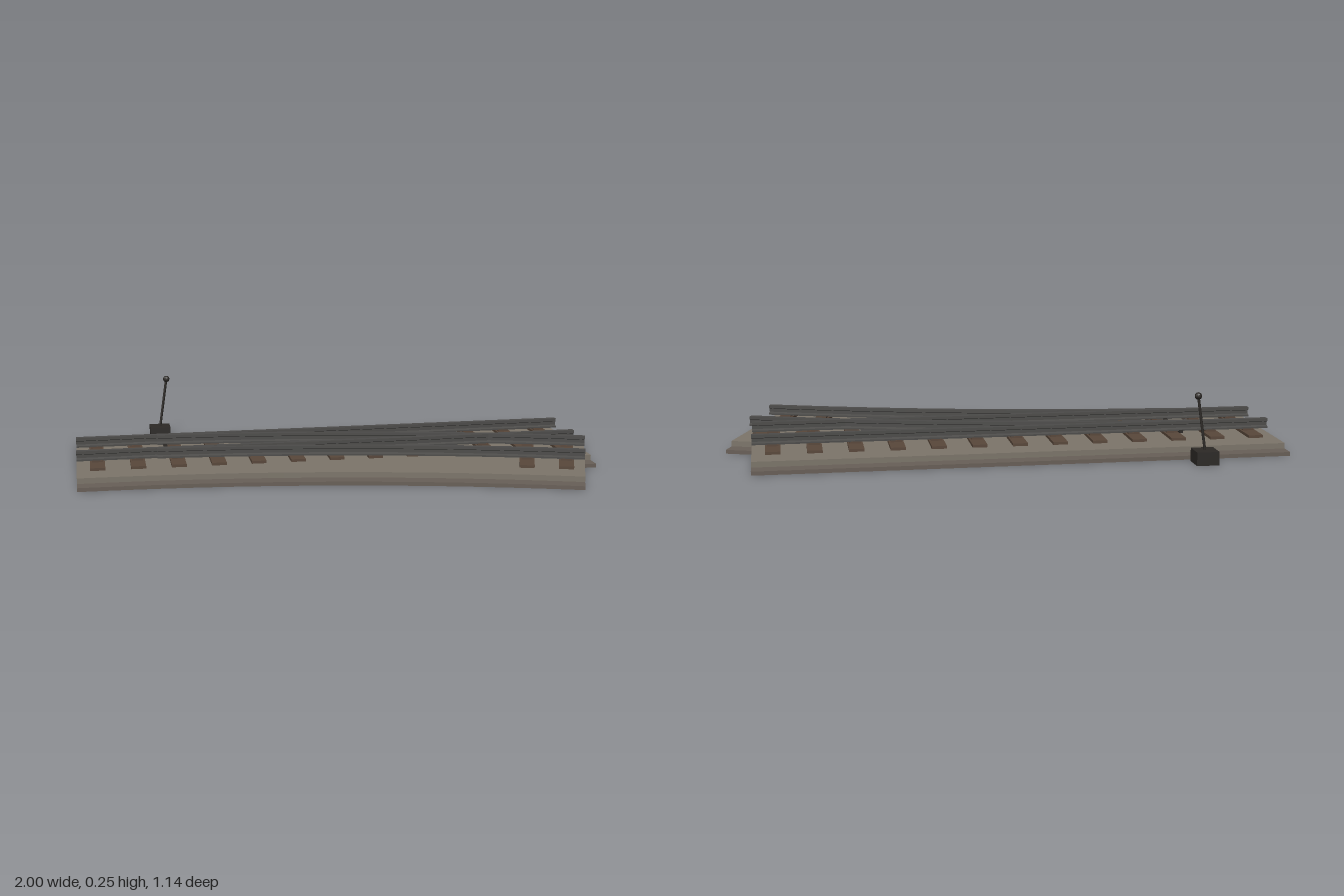
import * as THREE from 'three';

// Shared track layout: straight route along x, curved route bending towards +z
const X0 = -1, X1 = 0.905, ZC = -0.107;
const R = 5.62, SWEEP = THREE.MathUtils.degToRad(19.5);
const GAUGE = 0.217, PITCH = 0.1463;

const paint = (color) => new THREE.MeshStandardMaterial({ color, flatShading: true });
const mats = {
  stone: paint(0x7c756a), base: paint(0x685f57), wood: paint(0x59473a),
  steel: paint(0x4c4b49), iron: paint(0x2c2926),
};

// Point on the curved route at angle a, offset away from the curve's centre
const onCurve = (a, off) => [X0 + (R + off) * Math.sin(a), ZC + R - (R + off) * Math.cos(a)];

function add(parent, name, geo, mat, x = 0, y = 0, z = 0) {
  const mesh = new THREE.Mesh(geo, mat);
  mesh.name = name;
  mesh.position.set(x, y, z);
  parent.add(mesh);
  return mesh;
}

// Slab covering both routes, half wide on each side of their centre lines
function bedGeometry(half, height) {
  const out = onCurve(SWEEP, half), inn = onCurve(SWEEP, -half);
  const lerpAt = (axis, v) => {
    const t = (v - out[axis]) / (inn[axis] - out[axis]);
    return [0, 1].map((k) => out[k] + t * (inn[k] - out[k]));
  };
  const zFront = ZC + half;
  const pts = [
    [X0, ZC - half], [X1, ZC - half],
    onCurve(Math.asin((X1 - X0) / (R + half)), half), out,
    lerpAt(0, X1), [X1, zFront], lerpAt(1, zFront),
  ];
  for (let i = 32; i >= 0; i--) pts.push(onCurve((SWEEP * i) / 32, -half));
  const shape = new THREE.Shape(pts.map(([x, z]) => new THREE.Vector2(x, -z)));
  return new THREE.ExtrudeGeometry(shape, { depth: height, bevelEnabled: false }).rotateX(-Math.PI / 2);
}

// Rail profile with foot, web and head, swept along either route
const half = [[0.016, 0.05], [0.016, 0.056], [0.005, 0.06], [0.005, 0.072], [0.011, 0.075], [0.011, 0.086]];
const profile = new THREE.Shape(
  [...half, ...half.map(([u, v]) => [-u, v]).reverse()].map(([u, v]) => new THREE.Vector2(u, v)));

function railGeometry(offset, curved, start, end) {
  const geo = new THREE.ExtrudeGeometry(profile, {
    depth: end - start, steps: curved ? 32 : 1, bevelEnabled: false,
  });
  const p = geo.attributes.position;
  for (let i = 0; i < p.count; i++) {
    const s = start + p.getZ(i), u = offset + p.getX(i);
    const [x, z] = curved ? onCurve(s / R, u) : [X0 + s, ZC - u];
    p.setXYZ(i, x, p.getY(i), z);
  }
  geo.computeVertexNormals();
  return geo;
}

// Wooden sleeper with a chair under each rail
function sleeper(parent, x, z, angle) {
  const g = new THREE.Group();
  g.name = 'sleeper';
  g.position.set(x, 0, z);
  g.rotation.y = -angle;
  add(g, 'sleeperBeam', new THREE.BoxGeometry(0.054, 0.013, 0.425), mats.wood, 0, 0.0375, 0);
  for (const side of [-1, 1]) {
    add(g, 'railChair', new THREE.BoxGeometry(0.04, 0.008, 0.034), mats.wood, 0, 0.047, side * GAUGE / 2);
  }
  parent.add(g);
}

export function createModel() {
  const model = new THREE.Group();
  model.name = 'railwaySwitch';

  // Stepped ballast bed
  add(model, 'bedBase', bedGeometry(0.368, 0.014), mats.base);
  add(model, 'bedTop', bedGeometry(0.31, 0.02), mats.stone, 0, 0.014, 0);

  // Sleepers of the straight route, then the two on the branch
  for (let i = 0; i < 13; i++) sleeper(model, -0.925 + i * PITCH, ZC, 0);
  for (const deg of [17.3, 18.8]) {
    const a = THREE.MathUtils.degToRad(deg);
    const [x, z] = onCurve(a, 0);
    sleeper(model, x, z, a);
  }

  // Straight rails and curved rails starting at the switch points
  for (const side of [-1, 1]) {
    add(model, 'straightRail', railGeometry(side * GAUGE / 2, false, 0, X1 - X0), mats.steel);
    add(model, 'curvedRail', railGeometry(side * GAUGE / 2, true, 0.3, R * SWEEP), mats.steel);
  }

  // Throw bar joining the switch points
  add(model, 'throwBar', new THREE.BoxGeometry(0.014, 0.01, 0.235), mats.iron, -0.665, 0.048, -0.12);

  // Switch stand with a leaning hand lever
  const stand = new THREE.Group();
  stand.name = 'switchStand';
  stand.position.set(-0.665, 0, -0.535);
  add(stand, 'standBox', new THREE.BoxGeometry(0.08, 0.048, 0.08), mats.iron, 0, 0.024, 0);
  const lever = new THREE.Group();
  lever.name = 'lever';
  lever.position.y = 0.04;
  lever.rotation.z = -0.15;
  add(lever, 'leverRod', new THREE.CylinderGeometry(0.005, 0.005, 0.2, 8), mats.iron, 0, 0.1, 0);
  add(lever, 'leverKnob', new THREE.SphereGeometry(0.013, 10, 8), mats.iron, 0, 0.203, 0);
  stand.add(lever);
  model.add(stand);

  return model;
}
